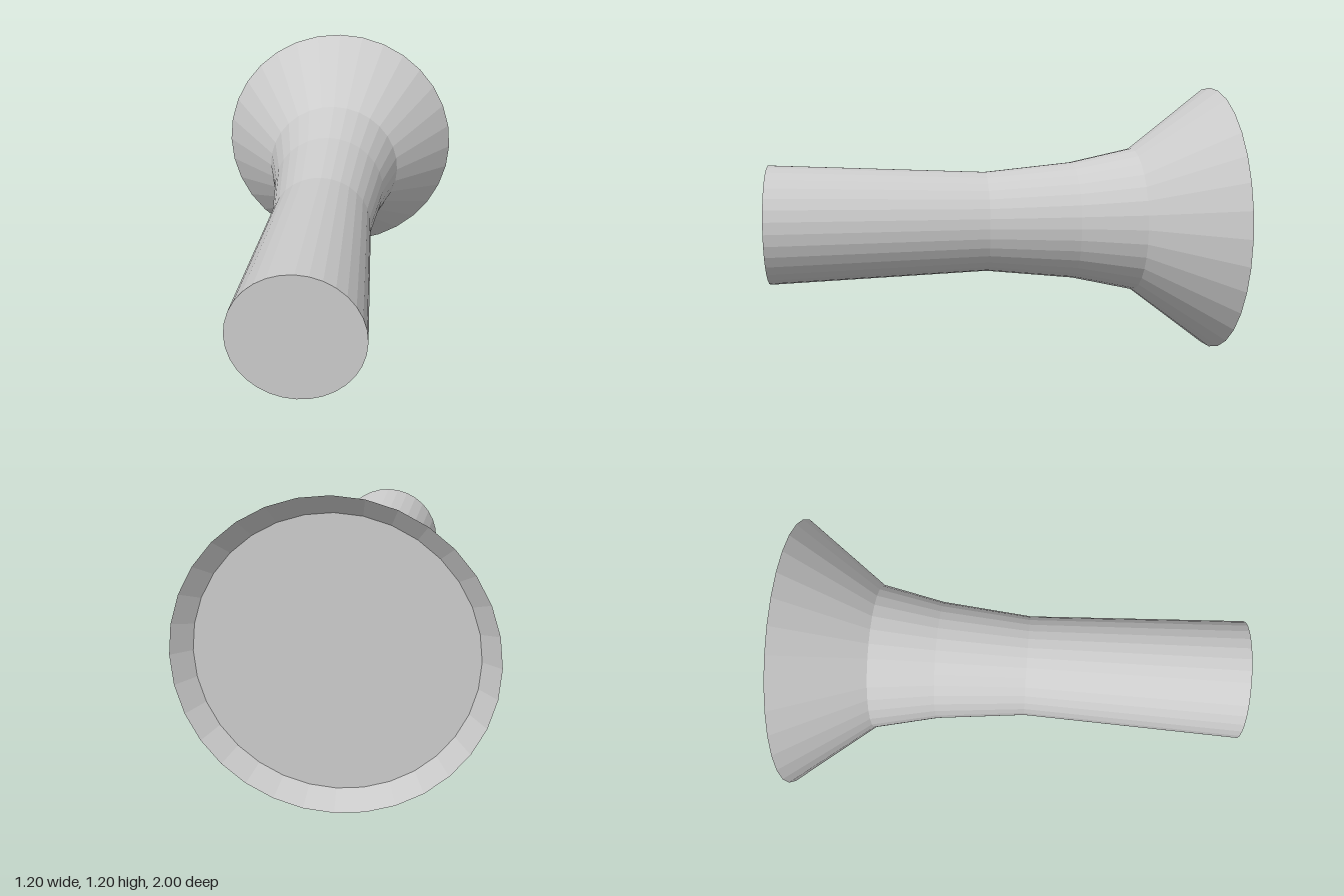
import * as THREE from 'three';

const SIDES = 32;
const AXIS_HEIGHT = 0.602;
const material = new THREE.MeshStandardMaterial({ color: 0xcccccc, flatShading: true });

// Turned part around the z axis; profile points are [radius, z], running from back to front
function turned(name, profile) {
  const points = profile.map(([r, z]) => new THREE.Vector2(r, z));
  const geometry = new THREE.LatheGeometry(points, SIDES);
  geometry.rotateX(Math.PI / 2);
  const mesh = new THREE.Mesh(geometry, material);
  mesh.name = name;
  mesh.position.y = AXIS_HEIGHT;
  return mesh;
}

export function createModel() {
  const group = new THREE.Group();
  group.name = 'flaredHandle';

  // Flared base: shallow dished back, sharp rim, cone narrowing to the neck
  group.add(turned('flaredBase', [[0, -0.94], [0.53, -0.94], [0.602, -1], [0.327, -0.64]]));

  // Waisted shaft from the neck to the flat front end
  group.add(turned('shaft', [[0.327, -0.64], [0.266, -0.36], [0.226, 0.035], [0.266, 1], [0, 1]]));

  return group;
}
